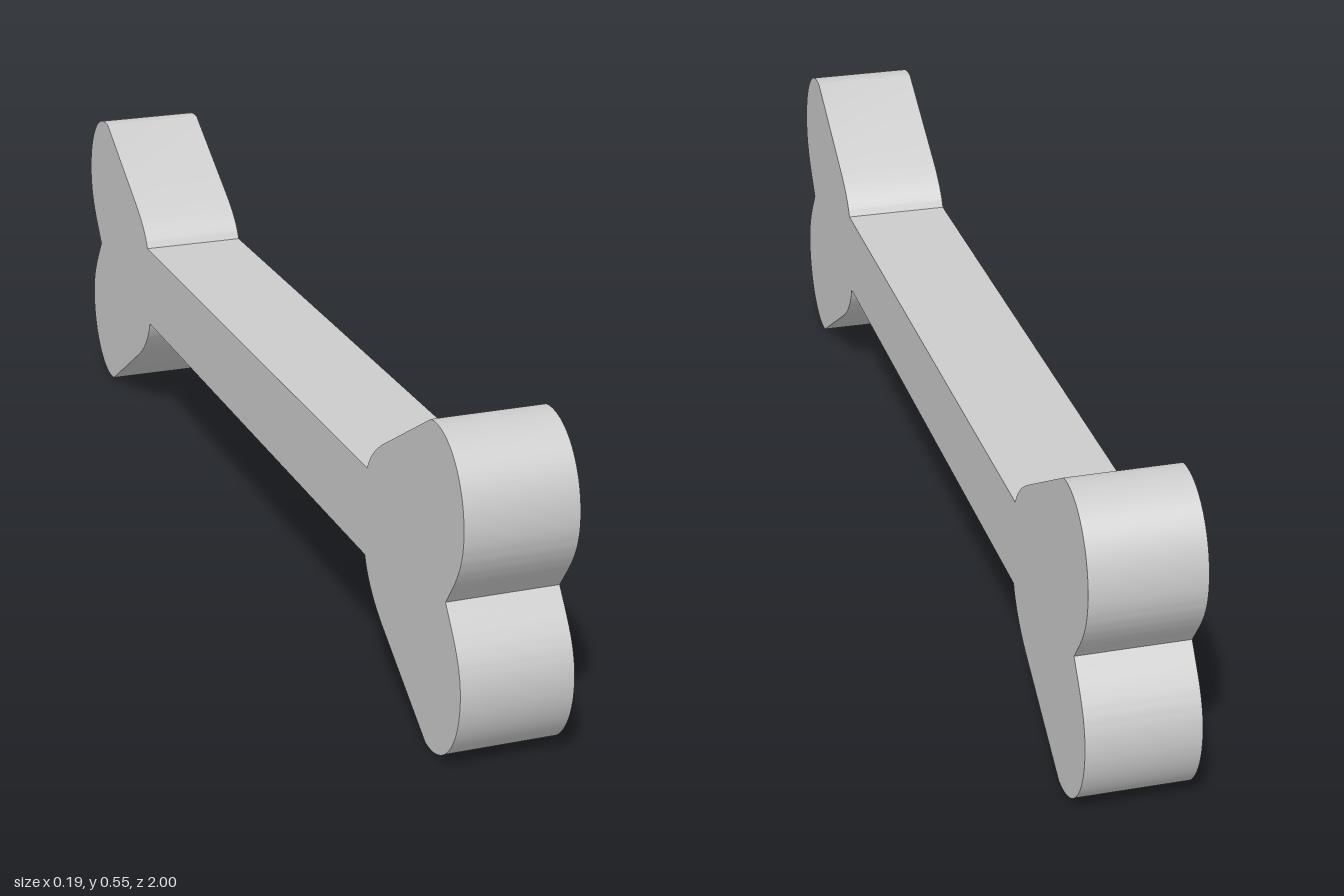
import * as THREE from 'three';
import { toCreasedNormals } from 'three/addons/utils/BufferGeometryUtils.js';

const WIDTH = 0.19;

// Heart-shaped outline of one knobbed end, from shaft bottom round to shaft top
// (horizontal axis = z, vertical axis = y)
function traceEnd(shape) {
  shape.lineTo(0.595, 0.213);
  // lower lobe
  shape.bezierCurveTo(0.605, 0.18, 0.635, 0.145, 0.68, 0.118);
  shape.lineTo(0.865, 0.003);
  shape.bezierCurveTo(0.94, -0.01, 1.0, 0.06, 1.0, 0.14);
  shape.bezierCurveTo(1.0, 0.2, 0.965, 0.235, 0.935, 0.277);
  // upper lobe
  shape.bezierCurveTo(0.965, 0.318, 1.0, 0.353, 1.0, 0.413);
  shape.bezierCurveTo(1.0, 0.493, 0.94, 0.562, 0.865, 0.55);
  shape.lineTo(0.67, 0.435);
  shape.bezierCurveTo(0.635, 0.413, 0.612, 0.392, 0.602, 0.368);
}

export function createModel() {
  const group = new THREE.Group();
  group.name = 'bone';

  // One half of the outline, then its mirror image
  const half = new THREE.Shape();
  half.moveTo(0, 0.213);
  traceEnd(half);
  const points = half.getPoints(20).slice(1);
  const mirrored = points.map((p) => new THREE.Vector2(-p.x, p.y)).reverse();
  const outline = new THREE.Shape([...points, ...mirrored]);

  // Flat slab extruded across the width, turned so its length runs along z
  const slab = new THREE.ExtrudeGeometry(outline, { depth: WIDTH, bevelEnabled: false });
  slab.translate(0, 0, -WIDTH / 2);
  slab.rotateY(-Math.PI / 2);

  const body = new THREE.Mesh(
    toCreasedNormals(slab, 0.8),
    new THREE.MeshStandardMaterial({ color: 0xcccccc })
  );
  body.name = 'boneBody';
  group.add(body);
  return group;
}
